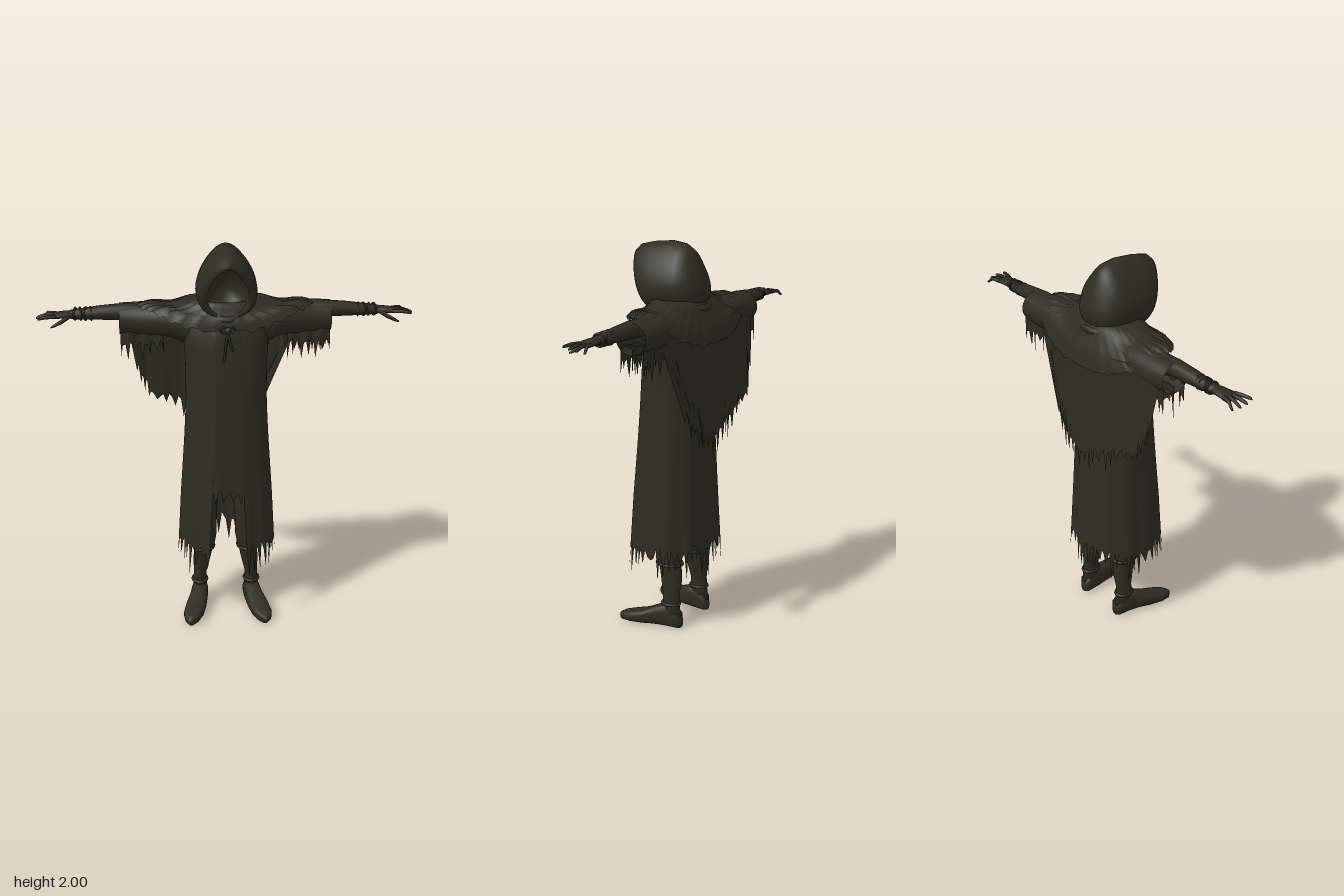
import * as THREE from 'three';

const cloth = new THREE.MeshStandardMaterial({ color: 0x2d2c20, side: THREE.DoubleSide });
cloth.name = 'dark olive cloth';

// seeded random numbers for the torn hems
let seed = 7;
const rand = () => (seed = (seed * 16807) % 2147483647) / 2147483647;
const torn = (i, depth) => (i % 3 === 0 ? 0.35 + 0.65 * rand() : 0.3 * rand()) * depth;

// linear lookup in rows of [key, ...values], keys ascending
function look(table, k) {
  let i = 1;
  while (i < table.length - 1 && table[i][0] < k) i++;
  const a = table[i - 1], b = table[i];
  const t = THREE.MathUtils.clamp((k - a[0]) / (b[0] - a[0]), 0, 1);
  return a.slice(1).map((v, j) => v + (b[j + 1] - v) * t);
}

// skin a list of cross-sections; rings may be closed and may have end caps
function loft(rings, { closed = true, caps = false } = {}) {
  const n = rings[0].length, pos = rings.flat(2), idx = [];
  for (let r = 0; r < rings.length - 1; r++) {
    for (let i = 0; i < (closed ? n : n - 1); i++) {
      const j = (i + 1) % n, a = r * n + i, b = r * n + j;
      idx.push(a, a + n, b, b, a + n, b + n);
    }
  }
  if (caps) {
    for (const r of [0, rings.length - 1]) {
      const c = pos.length / 3;
      pos.push(...[0, 1, 2].map(k => rings[r].reduce((s, p) => s + p[k], 0) / n));
      for (let i = 0; i < n; i++) {
        const a = r * n + i, b = r * n + (i + 1) % n;
        idx.push(...(r ? [a, c, b] : [a, b, c]));
      }
    }
  }
  const g = new THREE.BufferGeometry();
  g.setAttribute('position', new THREE.Float32BufferAttribute(pos, 3));
  g.setIndex(idx);
  g.computeVertexNormals();
  return g;
}

const around = (n, f) => Array.from({ length: n }, (_, i) => f(i / n * Math.PI * 2, i));
const bend = (v, e) => Math.sign(v) * Math.abs(v) ** e;

function add(group, name, geometry) {
  const m = new THREE.Mesh(geometry, cloth);
  m.name = name;
  group.add(m);
  return m;
}

// limb lying along x: rows of [x, y, z, ry, rz]
const limbX = (rows, n = 16, caps = true) => loft(rows.map(([x, y, z, ry, rz]) =>
  around(n, a => [x, y + ry * Math.cos(a), z + rz * Math.sin(a)])), { caps });
const cord = (pts, r, closed = false) => new THREE.TubeGeometry(
  new THREE.CatmullRomCurve3(pts.map(p => new THREE.Vector3(...p)), closed), 40, r, 8, closed);

function robe() {
  // height, half width, front z, back z
  const profile = [[0.2, 0.26, 0.23, 0.215], [0.4, 0.25, 0.22, 0.205], [0.7, 0.235, 0.2, 0.19],
    [1, 0.215, 0.175, 0.18], [1.2, 0.205, 0.16, 0.175], [1.4, 0.205, 0.145, 0.175],
    [1.55, 0.215, 0.122, 0.185], [1.66, 0.19, 0.085, 0.165], [1.7, 0.1, 0.05, 0.12]];
  const n = 126;
  const hem = around(n, (a, i) => {
    const front = Math.sin(a) > 0 && Math.abs(Math.cos(a)) < 0.3;
    return front ? 0.77 - torn(i, 0.12) : 0.46 - torn(i, 0.19);
  });
  const steps = [0, 0.03, 0.07, 0.11, 0.16, 0.22, 0.3, 0.38, 0.46, 0.54, 0.62, 0.7, 0.78, 0.85, 0.91, 0.96, 1];
  return loft(steps.map(t => around(n, (a, i) => {
    const y = 1.7 + (hem[i] - 1.7) * t, [w, f, b] = look(profile, y);
    const c = Math.cos(a), s = Math.sin(a);
    const fold = 1 + 0.025 * Math.sin(11 * a) * Math.max(0, 1.4 - y);
    const x = w * bend(c, 0.85) * fold;
    // overlapping front edge
    const lap = s > 0 && x > -0.075 && x < 0.06 && y < 1.6 ? 0.012 * (0.06 - x) / 0.135 : 0;
    return [x, y, (s > 0 ? f : b) * bend(s, 0.85) * fold + lap];
  })));
}

function capelet() {
  const n = 96;
  const tear = around(n, (a, i) => torn(i, 0.025));
  return loft([0, 0.12, 0.25, 0.38, 0.5, 0.62, 0.74, 0.85, 0.93, 1].map(t => around(n, (a, i) => {
    const c = Math.cos(a), s = Math.sin(a);
    const ox = 0.44 * bend(c, 0.8), oz = -0.05 + (s > 0 ? 0.19 * s ** 1.3 : 0.18 * bend(s, 0.8));
    const oy = 1.69 - (s > 0 ? 0.09 * s ** 4 : 0.17 * s * s) - tear[i];
    const ix = 0.12 * c, iz = -0.03 + 0.1 * s;
    return [ix + (ox - ix) * t, 1.72 + (oy - 1.72) * t ** 1.6 + 0.009 * Math.sin(t * 9.4),
      iz + (oz - iz) * t ** 0.85];
  })));
}

function cape() {
  // position across: top x, top y, top z, hem x, hem y, hem z
  const edge = [[0, -0.5, 1.6, -0.15, -0.45, 1.36, -0.18], [0.15, -0.38, 1.64, -0.17, -0.39, 1.21, -0.19],
    [0.3, -0.22, 1.62, -0.195, -0.24, 1.14, -0.205], [0.5, -0.03, 1.58, -0.21, -0.07, 1.06, -0.22],
    [0.7, 0.15, 1.6, -0.2, 0.07, 1.06, -0.22], [0.85, 0.28, 1.63, -0.18, 0.15, 1.15, -0.21],
    [1, 0.41, 1.63, -0.15, 0.22, 1.26, -0.19]];
  const cols = Array.from({ length: 64 }, (_, i) => {
    const e = look(edge, i / 63);
    e[4] -= torn(i, 0.14);
    return e;
  });
  return loft(Array.from({ length: 12 }, (_, r) => cols.map(([x, y, z, hx, hy, hz], i) => {
    const t = r / 11;
    return [x + (hx - x) * t, y + (hy - y) * t, z + (hz - z) * t + 0.006 * Math.sin(i * 0.6) * t];
  })), { closed: false });
}

function hood() {
  // top y, top z, bottom y, bottom z, half width: inside, over the rim, then back
  const rows = [[1.82, -0.02, 1.76, -0.03, 0.02], [1.88, 0.02, 1.7, -0.02, 0.075], [1.91, 0.12, 1.67, 0.04, 0.095],
    [1.92, 0.215, 1.665, 0.1, 0.1], [1.945, 0.23, 1.65, 0.11, 0.117], [1.972, 0.2, 1.645, 0.085, 0.135],
    [1.99, 0.12, 1.645, 0.04, 0.143], [2, 0.02, 1.65, -0.02, 0.145], [1.99, -0.05, 1.66, -0.08, 0.138],
    [1.965, -0.09, 1.675, -0.125, 0.12], [1.92, -0.12, 1.7, -0.155, 0.09], [1.85, -0.145, 1.75, -0.17, 0.035]];
  return loft(rows.map(([ty, tz, by, bz, w]) => around(40, a => {
    const v = (1 + Math.cos(a)) / 2;
    return [w * Math.sin(a) * (1 - 0.32 * Math.cos(a)), by + (ty - by) * v, bz + (tz - bz) * v];
  })), { caps: true });
}

// torn strip hanging under a sleeve
function tatters(z) {
  const rows = [[], [], []];
  for (let i = 0; i <= 18; i++) {
    const x = 0.31 + i * 0.012, drop = 0.03 + torn(i, 0.12);
    rows.forEach((row, r) => row.push([x, 1.56 - (0.02 + drop) * r / 2, z + 0.006 * Math.sin(i)]));
  }
  return loft(rows, { closed: false });
}

function armSide() {
  const g = new THREE.Group();
  add(g, 'sleeve', limbX([[0.1, 1.57, -0.05, 0.125, 0.12], [0.2, 1.585, -0.06, 0.105, 0.12],
    [0.27, 1.605, -0.07, 0.09, 0.11], [0.35, 1.605, -0.08, 0.088, 0.1], [0.44, 1.602, -0.085, 0.085, 0.088],
    [0.53, 1.605, -0.085, 0.078, 0.084]], 32, false));
  for (const z of [-0.02, -0.085, -0.15]) add(g, 'sleeveTatters', tatters(z));
  add(g, 'arm', limbX([[0.3, 1.64, -0.07, 0.045, 0.05], [0.5, 1.645, -0.068, 0.043, 0.046],
    [0.62, 1.642, -0.067, 0.036, 0.041], [0.72, 1.637, -0.065, 0.028, 0.033], [0.77, 1.636, -0.062, 0.022, 0.03]]));
  for (let i = 0; i < 4; i++) {
    const wrap = add(g, 'wristWrap', new THREE.TorusGeometry(0.033 - i * 0.001, 0.005, 6, 20));
    wrap.position.set(0.67 + i * 0.026, 1.638, -0.065);
    wrap.rotation.set(0, Math.PI / 2 + (i % 2 ? 0.2 : -0.2), 0);
  }
  add(g, 'palm', limbX([[0.75, 1.636, -0.062, 0.02, 0.028], [0.79, 1.637, -0.06, 0.018, 0.036],
    [0.83, 1.635, -0.057, 0.015, 0.042], [0.86, 1.632, -0.056, 0.01, 0.04]]));
  // base z, tip x, tip y, tip z
  for (const [bz, x, y, z] of [[-0.09, 0.92, 1.612, -0.108], [-0.068, 0.937, 1.62, -0.077],
    [-0.044, 0.94, 1.626, -0.04], [-0.022, 0.928, 1.63, 0]]) {
    add(g, 'finger', limbX([[0.84, 1.635, bz, 0.01, 0.011], [0.885, 1.637, (bz + z) / 2, 0.009, 0.01],
      [x - 0.008, y + 0.003, z, 0.007, 0.007], [x, y, z, 0.003, 0.003]], 8));
  }
  add(g, 'thumb', limbX([[0.775, 1.632, -0.04, 0.013, 0.014], [0.81, 1.615, -0.012, 0.012, 0.013],
    [0.845, 1.6, 0.005, 0.009, 0.009], [0.865, 1.592, 0.012, 0.004, 0.004]], 8));
  return g;
}

function legSide() {
  const g = new THREE.Group();
  // y, x, z, rx, rz
  const leg = [[0.8, 0.11, -0.03, 0.075, 0.085], [0.5, 0.115, -0.03, 0.066, 0.075], [0.42, 0.115, -0.025, 0.065, 0.07],
    [0.36, 0.12, -0.03, 0.06, 0.067], [0.33, 0.12, -0.04, 0.05, 0.06], [0.25, 0.13, -0.053, 0.044, 0.057],
    [0.18, 0.138, -0.055, 0.034, 0.046], [0.13, 0.14, -0.055, 0.035, 0.046], [0.06, 0.138, -0.06, 0.04, 0.05]];
  add(g, 'leg', loft(leg.map(([y, x, z, rx, rz]) =>
    around(24, a => [x + rx * Math.cos(a), y, z + rz * Math.sin(a)])), { caps: true }));
  // z, x, half width, top
  const foot = [[-0.113, 0.135, 0.02, 0.05], [-0.1, 0.135, 0.038, 0.085], [-0.04, 0.14, 0.044, 0.125],
    [0.02, 0.15, 0.047, 0.105], [0.08, 0.166, 0.054, 0.078], [0.15, 0.182, 0.053, 0.06],
    [0.2, 0.192, 0.037, 0.048], [0.222, 0.196, 0.014, 0.036]];
  add(g, 'boot', loft(foot.map(([z, x, w, top]) => around(20, a =>
    [x + w * bend(Math.cos(a), 0.6), top * (0.5 + 0.5 * bend(Math.sin(a), 0.8)), z])), { caps: true }));
  for (const [y, x, z, r] of [[0.13, 0.14, -0.055, 0.038], [0.345, 0.12, -0.035, 0.056]]) {
    const strap = add(g, 'bootStrap', new THREE.TorusGeometry(r, 0.008, 8, 24));
    strap.position.set(x, y, z);
    strap.rotation.x = Math.PI / 2;
    strap.scale.y = 1.22;
  }
  return g;
}

export function createModel() {
  const model = new THREE.Group();
  model.name = 'hoodedFigure';
  add(model, 'robe', robe());
  add(model, 'capelet', capelet());
  add(model, 'backCape', cape());
  add(model, 'hood', hood());
  // rolled cloth around the neck
  add(model, 'collarRoll', cord(around(16, a => [0.15 * Math.cos(a),
    1.68 - 0.035 * Math.max(0, Math.sin(a)), -0.025 + 0.135 * Math.sin(a)]), 0.02, true));
  // tied neck cord
  add(model, 'knot', new THREE.SphereGeometry(0.016, 12, 8)).position.set(0, 1.6, 0.142);
  for (const [x, y] of [[-0.02, 1.44], [0.028, 1.5]]) {
    add(model, 'cordEnd', cord([[0, 1.6, 0.142], [x * 0.4, 1.54, 0.15], [x, y, 0.152]], 0.006));
    const loop = add(model, 'cordLoop', new THREE.TorusGeometry(0.014, 0.005, 6, 14));
    loop.position.set(Math.sign(x) * 0.022, 1.603, 0.142);
  }
  for (const [name, make] of [['Arm', armSide], ['Leg', legSide]]) {
    for (const s of [1, -1]) {
      const side = make();
      side.name = (s > 0 ? 'left' : 'right') + name;
      side.scale.x = s;
      model.add(side);
    }
  }
  return model;
}
